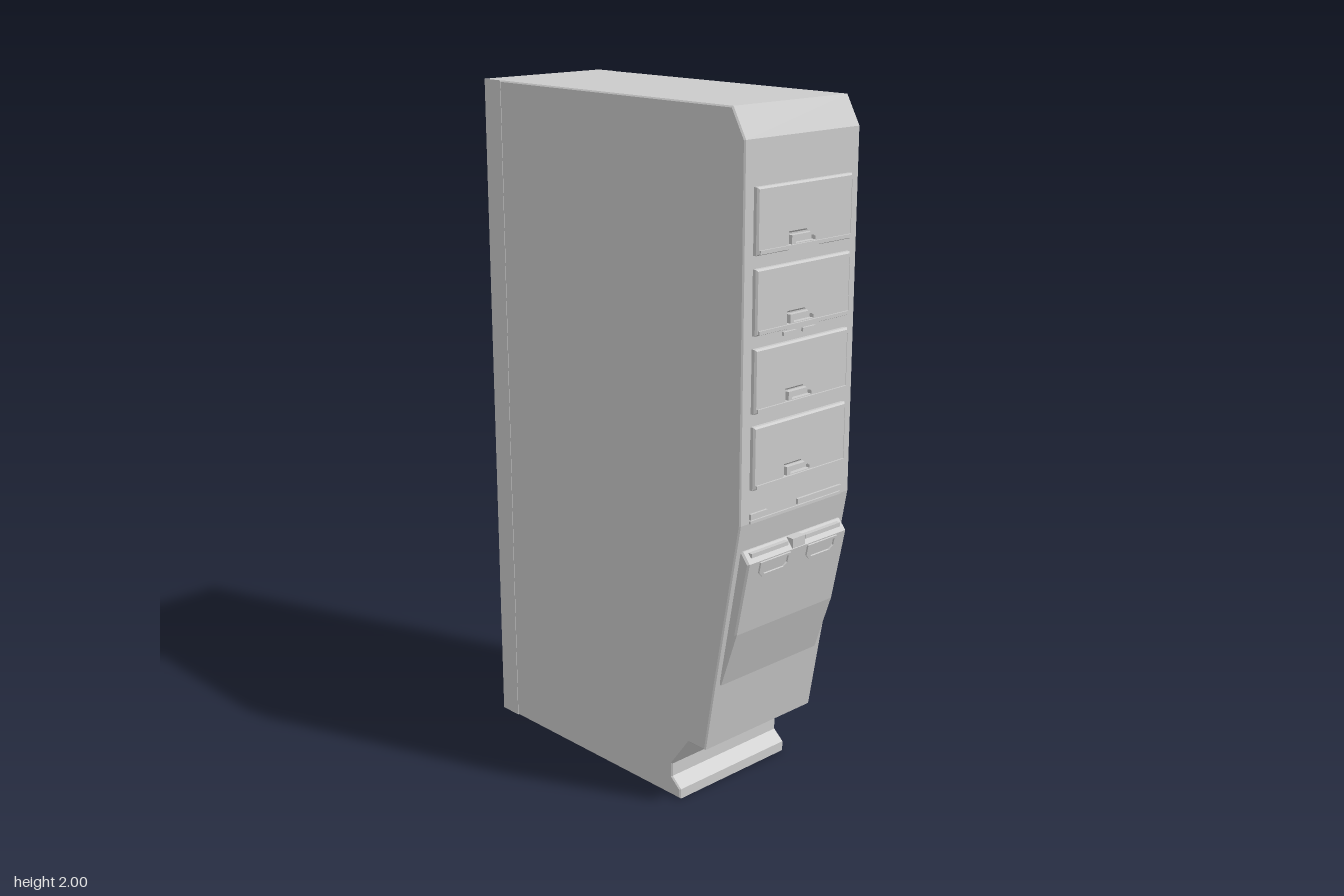
import * as THREE from 'three';

const material = new THREE.MeshStandardMaterial({ color: 0xcccccc });

function add(parent, name, geometry, x = 0, y = 0, z = 0) {
  const mesh = new THREE.Mesh(geometry, material);
  mesh.name = name;
  mesh.position.set(x, y, z);
  parent.add(mesh);
  return mesh;
}

// Box given by its limits
function block(parent, name, x0, x1, y0, y1, z0, z1) {
  return add(parent, name, new THREE.BoxGeometry(x1 - x0, y1 - y0, z1 - z0),
    (x0 + x1) / 2, (y0 + y1) / 2, (z0 + z1) / 2);
}

const points = (list) => list.map(([x, y]) => new THREE.Vector2(x, y));
const rect = (x0, x1, y0, y1) => [[x0, y0], [x1, y0], [x1, y1], [x0, y1]];

// Plate facing z, with holes and an optional chamfer inside its outline
function plate(outline, holes, depth, bevel = 0) {
  const shape = new THREE.Shape(points(outline));
  holes.forEach((h) => shape.holes.push(new THREE.Path(points(h))));
  const geometry = new THREE.ExtrudeGeometry(shape, {
    depth: depth - bevel, bevelEnabled: bevel > 0, bevelThickness: bevel,
    bevelSize: bevel, bevelOffset: -bevel, bevelSegments: 1,
  });
  return geometry;
}

// Side profile of [z, y] points drawn out across x, centred
function across(profile, width, bevel) {
  const geometry = new THREE.ExtrudeGeometry(new THREE.Shape(points(profile)), {
    depth: width - 2 * bevel, bevelThickness: bevel, bevelSize: bevel,
    bevelOffset: -bevel, bevelSegments: 1,
  });
  geometry.translate(0, 0, -(width - 2 * bevel) / 2);
  return geometry.rotateY(-Math.PI / 2);
}

// One front drawer face with latch notch and connector recess
function makeDoor(y) {
  const door = new THREE.Group();
  door.name = 'frontDoor';
  door.position.set(0, y, 0.505);
  const outline = [[-0.185, 0], [-0.063, 0], [-0.063, 0.045], [0.06, 0.045],
    [0.06, 0], [0.18, 0], [0.18, 0.175], [-0.185, 0.175]];
  const recess = [[0.105, 0.018], [0.172, 0.018], [0.172, 0.155],
    [0.105, 0.155], [0.077, 0.127], [0.077, 0.046]];
  add(door, 'doorFace', plate(outline, [recess], 0.025, 0.005));
  block(door, 'doorLip', -0.178, 0.173, 0.004, 0.014, 0, 0.03);
  block(door, 'recessFloor', 0.07, 0.176, 0.012, 0.16, 0, 0.013);
  add(door, 'connectorFrame', plate(rect(0.1, 0.168, 0.1, 0.138),
    [rect(0.107, 0.16, 0.108, 0.13)], 0.012), 0, 0, 0.012);
  block(door, 'connectorTab', 0.13, 0.16, 0.113, 0.125, 0.01, 0.019);
  add(door, 'latch', plate(rect(-0.054, 0.051, 0.004, 0.038),
    [rect(-0.04, 0.037, 0.016, 0.03)], 0.024), 0, 0, 0);
  return door;
}

export function createModel() {
  const model = new THREE.Group();
  model.name = 'driveCabinet';

  // Main housing
  add(model, 'housing', across([[-0.46, 0], [0.29, 0], [0.29, 0.03],
    [0.255, 0.06], [0.255, 0.1], [0.325, 0.195], [0.39, 0.195], [0.425, 0.4],
    [0.515, 0.9], [0.515, 1.92], [0.47, 2], [-0.46, 2]], 0.44, 0.004));

  // Front drawers
  for (const y of [1.625, 1.415, 1.205, 0.995]) model.add(makeDoor(y));

  // Slot strips under the drawers
  block(model, 'slotStrip', -0.185, 0.18, 0.9, 0.908, 0.5, 0.52);
  block(model, 'slotTab', -0.185, -0.12, 0.912, 0.928, 0.5, 0.522);
  block(model, 'slotTab', 0, 0.18, 0.912, 0.928, 0.5, 0.522);
  for (const x of [-0.045, 0.03]) block(model, 'catch', x - 0.025, x + 0.025, 1.397, 1.407, 0.505, 0.522);

  // Lower flap, its top rail and two finger grips
  add(model, 'lowerFlap', across([[0.42, 0.4], [0.427, 0.4], [0.485, 0.57],
    [0.53, 0.79], [0.505, 0.82], [0.48, 0.82]], 0.4, 0.005));
  block(model, 'flapRail', -0.18, -0.035, 0.803, 0.815, 0.5, 0.523);
  block(model, 'flapRail', 0.035, 0.18, 0.803, 0.815, 0.5, 0.523);
  block(model, 'flapClip', -0.025, 0.025, 0.792, 0.82, 0.5, 0.53);
  const outline = [[-0.06, 0.022], [-0.06, -0.01], [-0.045, -0.025],
    [0.045, -0.025], [0.06, -0.01], [0.06, 0.022]];
  const hole = outline.map(([x, y]) => [x * 0.85, y * 0.7]);
  for (const x of [-0.095, 0.095]) {
    const grip = add(model, 'fingerGrip', plate(outline, [hole], 0.009), x, 0.766, 0.521);
    grip.rotation.x = 0.2;
  }

  // Rear rim
  add(model, 'rearRim', plate(rect(-0.22, 0.22, 0, 2),
    [rect(-0.203, 0.203, 0.02, 1.98)], 0.072), 0, 0, -0.53);

  // Rear lattice with recessed panels in two columns
  const rows = [[0.07, 0.34], [0.46, 1.21], [1.24, 1.48], [1.56, 1.74], [1.79, 1.97]];
  const columns = [[-0.185, -0.045], [0.03, 0.165]];
  const cells = [];
  for (const [x0, x1] of columns) for (const [y0, y1] of rows) cells.push(rect(x0, x1, y0, y1));
  add(model, 'rearLattice', plate(rect(-0.205, 0.205, 0.01, 1.99), cells, 0.04), 0, 0, -0.498);
  for (const [x0, x1] of columns) {
    for (const [y0, y1] of rows.slice(0, 4)) {
      block(model, 'rearPanel', x0 + 0.006, x1 - 0.006, y0 + 0.008, y1 - 0.008, -0.49, -0.455);
    }
    // Ledges between the panels
    block(model, 'upperLedge', x0, x1, 1.745, 1.775, -0.518, -0.49);
    block(model, 'middleLedge', x0, x1, 1.495, 1.54, -0.522, -0.49);
    block(model, 'lowerLedge', x0, x1, 0.355, 0.43, -0.528, -0.49);
  }

  // Central rear rails
  block(model, 'rearRail', 0.004, 0.026, 0.02, 1.98, -0.515, -0.49);
  block(model, 'rearRail', -0.036, -0.014, 0.02, 1.98, -0.515, -0.49);
  block(model, 'bottomBracket', -0.14, 0.1, 0.015, 0.075, -0.53, -0.48);
  return model;
}
